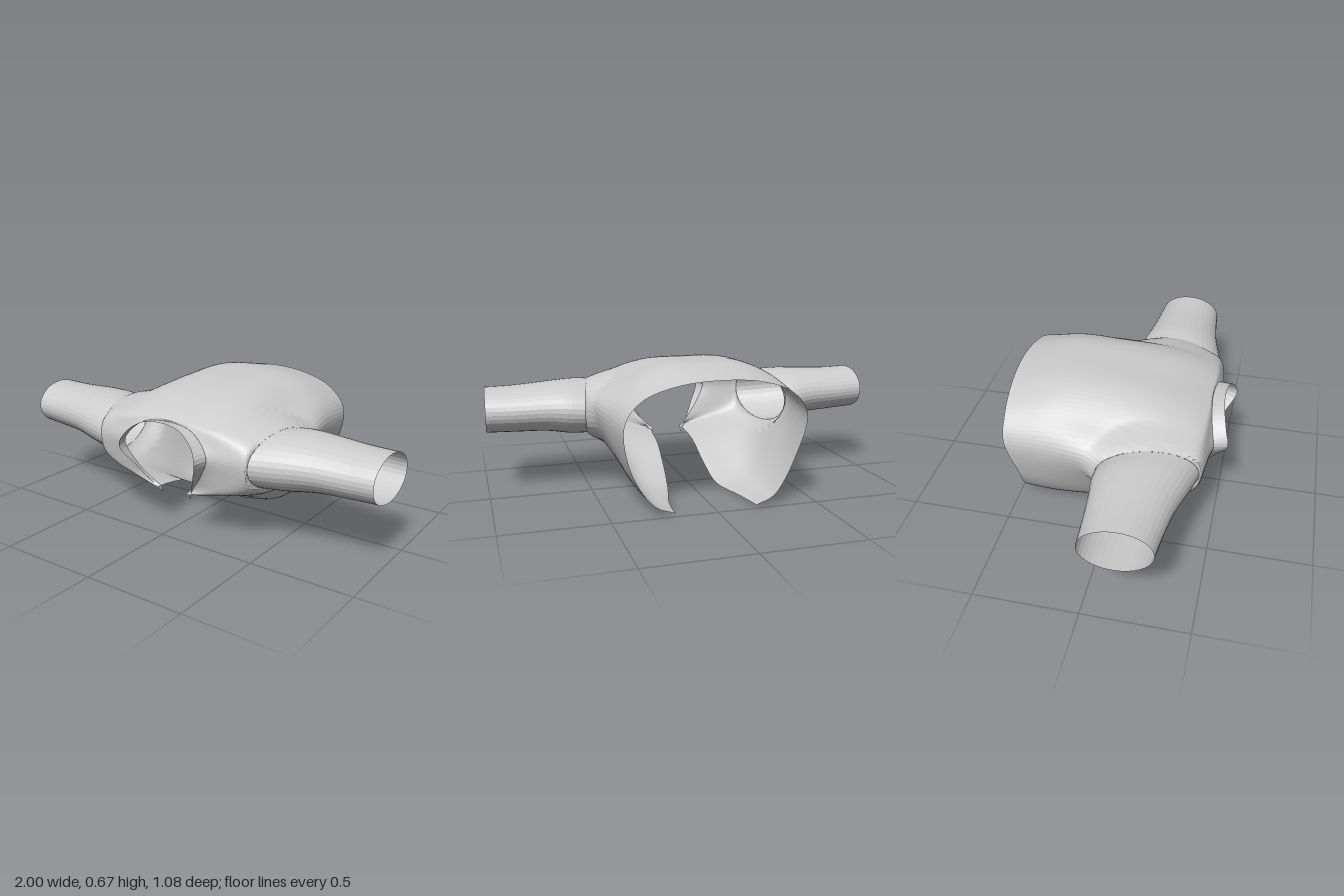
import * as THREE from 'three';

const grey = new THREE.MeshStandardMaterial({ color: 0xcccccc, flatShading: true, side: THREE.DoubleSide });
grey.name = 'cloth grey';

// Half sections of the open jacket, spine to front edge: [z, x, y, x, y, ...]
const SECTIONS = [
  [-0.50, 0, 0.63, 0.20, 0.612, 0.36, 0.55, 0.438, 0.43, 0.40, 0.22, 0.305, 0.06, 0.20, 0.012],
  [-0.30, 0, 0.675, 0.20, 0.66, 0.36, 0.583, 0.463, 0.45, 0.41, 0.22, 0.305, 0.05, 0.18, 0.005],
  [-0.10, 0, 0.672, 0.20, 0.66, 0.36, 0.58, 0.50, 0.46, 0.415, 0.23, 0.295, 0.06, 0.13, 0.012],
  [0.05, 0, 0.66, 0.20, 0.65, 0.36, 0.575, 0.51, 0.42, 0.42, 0.23, 0.28, 0.11, 0.11, 0.08],
  [0.20, 0, 0.635, 0.20, 0.628, 0.36, 0.565, 0.49, 0.41, 0.42, 0.24, 0.28, 0.18, 0.10, 0.16],
  [0.33, 0, 0.60, 0.20, 0.593, 0.36, 0.54, 0.47, 0.41, 0.41, 0.26, 0.28, 0.22, 0.095, 0.19],
  [0.42, 0, 0.565, 0.18, 0.557, 0.33, 0.52, 0.435, 0.42, 0.37, 0.29, 0.24, 0.24, 0.085, 0.20],
];
const HEM_OFFSET = [-0.04, -0.03, -0.015, -0.005, 0.04, 0.03, 0.02];
const NECK = [[0, 0.55, 0.43], [0.12, 0.54, 0.44], [0.20, 0.49, 0.455], [0.24, 0.42, 0.47],
  [0.195, 0.33, 0.45], [0.14, 0.26, 0.425], [0.08, 0.205, 0.40]];
const COLLAR = [[0, 0.56, 0.49], [0.11, 0.545, 0.50], [0.19, 0.49, 0.52], [0.22, 0.415, 0.535],
  [0.17, 0.32, 0.48], [0.125, 0.235, 0.43], [0.085, 0.165, 0.383]];
// Sleeve rings: x, centre z, centre y, radius z, radius y; the first is the armhole
const SLEEVE = [[0.48, 0.195, 0.405, 0.235, 0.137], [0.58, 0.182, 0.412, 0.218, 0.136],
  [0.70, 0.173, 0.42, 0.193, 0.123], [0.85, 0.17, 0.42, 0.175, 0.115], [0.993, 0.17, 0.423, 0.163, 0.112]];

const vec = (p) => new THREE.Vector3(...p);
const curve = (pts) => new THREE.CatmullRomCurve3(pts, false, 'catmullrom', 0.5);

// Mirrors a half section into a full one running from right edge to left edge
function mirrored(half) {
  const right = half.slice(1).reverse().map((p) => new THREE.Vector3(-p.x, p.y, p.z));
  return [...right, ...half];
}

// Smooth sheet through full sections, sampled to rows of points
function sheet(sections, across, along) {
  const rails = sections[0].map((_, j) => curve(sections.map((s) => s[j])));
  return Array.from({ length: along + 1 }, (_, i) => {
    const row = curve(rails.map((r) => r.getPoint(i / along)));
    return Array.from({ length: across + 1 }, (_, j) => row.getPoint(j / across));
  });
}

function meshFromRows(name, rows, skip = () => false) {
  const n = rows[0].length, index = [];
  for (let i = 0; i < rows.length - 1; i++) {
    for (let j = 0; j < n - 1; j++) {
      const a = i * n + j, b = a + 1, c = a + n, d = c + 1;
      if (!skip([a, b, c, d])) index.push(a, b, d, a, d, c);
    }
  }
  const g = new THREE.BufferGeometry().setFromPoints(rows.flat());
  g.setIndex(index);
  g.computeVertexNormals();
  const mesh = new THREE.Mesh(g, grey);
  mesh.name = name;
  return mesh;
}

// The seam lies further out at the back of the arm than at the front
const seamShift = (c) => -0.048 * c;

function makeBody() {
  const halves = SECTIONS.map(([z, ...xy], i) => HEM_OFFSET.map((o, j) =>
    new THREE.Vector3(xy[2 * j], xy[2 * j + 1], z + (i === 0 ? o : 0))));
  halves.push(NECK.map(vec));
  const rows = sheet(halves.map(mirrored), 96, 72);
  // Draw the cloth around each armhole out to the seam, and leave out the faces within
  const [seamX, seamZ, seamY, rz, ry] = SLEEVE[0];
  const inside = rows.flat().map((p) => {
    const c = (p.z - seamZ) / rz, s = (p.y - seamY) / ry, r = Math.hypot(c, s);
    const within = r < 1 && Math.abs(p.x) > 0.33;
    const pull = within ? 1
      : (1 - THREE.MathUtils.smoothstep(r, 0.95, 1.4)) * THREE.MathUtils.smoothstep(Math.abs(p.x), 0.27, 0.4);
    p.x = THREE.MathUtils.lerp(p.x, Math.sign(p.x) * (seamX + seamShift(c / r)), pull);
    if (within) {
      p.y = seamY + (s / r) * ry;
      p.z = seamZ + (c / r) * rz;
    }
    return within;
  });
  return meshFromRows('jacketBody', rows, (corners) => corners.every((k) => inside[k]));
}

function makeSleeve(side) {
  const sides = 36;
  const rails = Array.from({ length: sides + 1 }, (_, j) => {
    const a = (j / sides) * Math.PI * 2, c = Math.cos(a), s = Math.sin(a);
    return curve(SLEEVE.map(([x, z, y, rz, ry], i) => {
      const shift = i < 2 ? seamShift(c) * (1 - i * 0.5) : i === 4 ? -0.007 * c : 0;
      const t = i / 4;
      return new THREE.Vector3(side * (x + shift), y + s * ry - side * 0.009 * t, z + c * rz + side * 0.006 * t);
    }));
  });
  const rows = Array.from({ length: 15 }, (_, i) => rails.map((r) => r.getPoint(i / 14)));
  return meshFromRows(side > 0 ? 'leftSleeve' : 'rightSleeve', rows);
}

export function createModel() {
  const model = new THREE.Group();
  model.name = 'openJacket';
  model.add(makeBody());
  model.add(meshFromRows('collar', sheet([NECK, COLLAR].map((h) => mirrored(h.map(vec))), 48, 2)));
  for (const side of [1, -1]) model.add(makeSleeve(side));
  return model;
}
